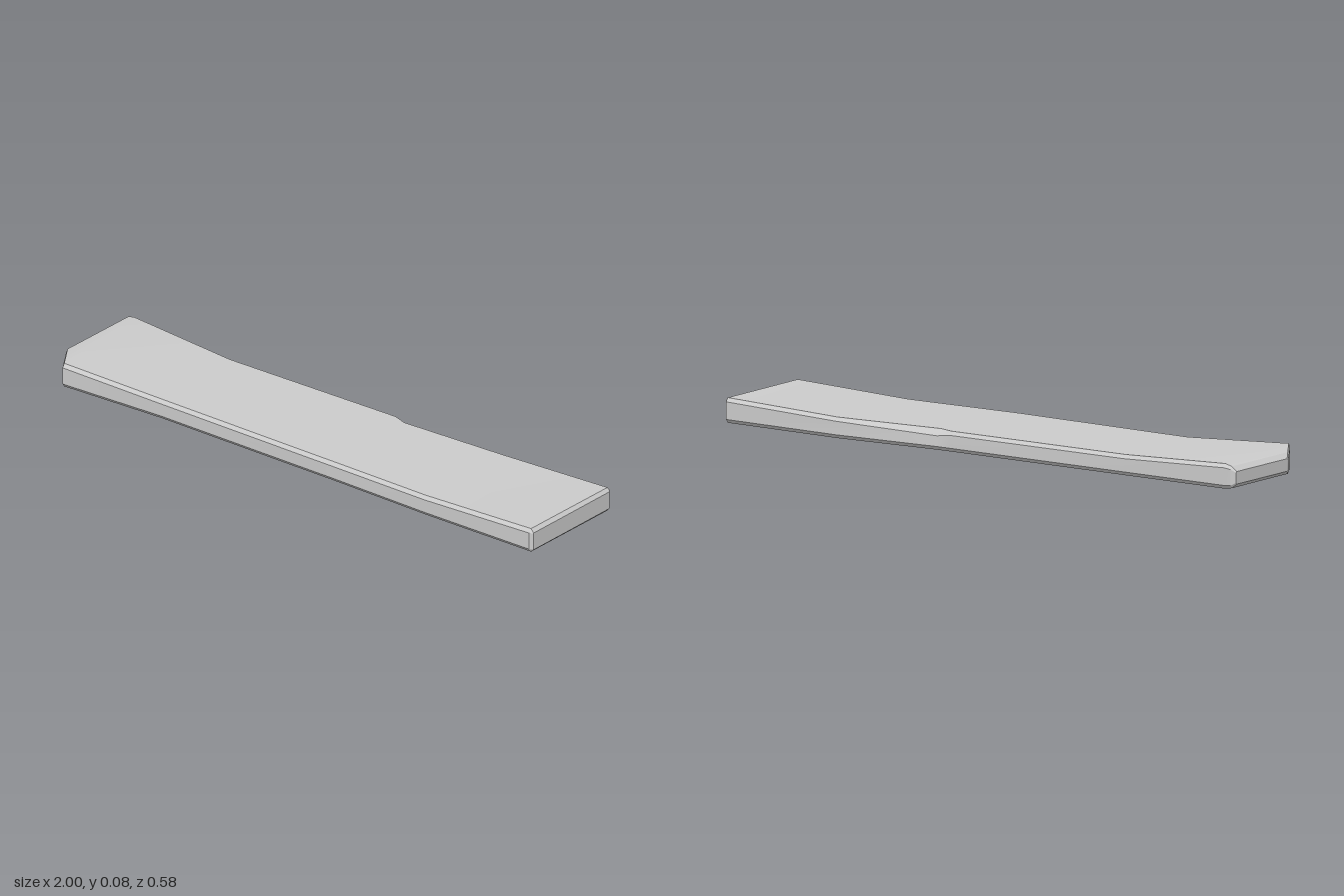
import * as THREE from 'three';
import { toCreasedNormals } from 'three/addons/utils/BufferGeometryUtils.js';

// Chamfered eight-point cross-section spanning the plank from back edge to front edge
function crossSection({ back, front, bottom, top, c = 0.012, chip = 0 }) {
  const b = new THREE.Vector2(...back);
  const f = new THREE.Vector2(...front);
  const across = f.clone().sub(b).normalize();
  const at = (edge, inset, y) => [edge.x + across.x * inset, y, edge.y + across.y * inset];
  const inset = c * 0.8;
  return [
    at(b, inset, bottom), at(b, 0, bottom + c),
    at(b, chip * 0.3, top - c - chip * 0.5), at(b, inset + chip, top),
    at(f, -inset, top), at(f, 0, top - c),
    at(f, 0, bottom + c), at(f, -inset, bottom),
  ];
}

// Skin between consecutive sections, closed at both ends
function loft(sections) {
  const n = sections[0].length;
  const last = (sections.length - 1) * n;
  const index = [];
  for (let i = 0; i < sections.length - 1; i++) {
    for (let j = 0; j < n; j++) {
      const a = i * n + j, b = i * n + (j + 1) % n;
      index.push(a, b, a + n, b, b + n, a + n);
    }
  }
  for (let k = 1; k < n - 1; k++) {
    index.push(0, k + 1, k, last, last + k, last + k + 1);
  }
  const geometry = new THREE.BufferGeometry();
  geometry.setAttribute('position', new THREE.Float32BufferAttribute(sections.flat(2), 3));
  geometry.setIndex(index);
  return toCreasedNormals(geometry, 0.45);
}

export function createModel() {
  const stations = [
    // worn left end with a clipped front corner
    { back: [-1.0, -0.11], front: [-0.975, 0.165], bottom: 0.022, top: 0.062, c: 0.004 },
    { back: [-0.985, -0.119], front: [-0.955, 0.195], bottom: 0.008, top: 0.077, c: 0.009 },
    { back: [-0.96, -0.121], front: [-0.88, 0.287], bottom: 0.003, top: 0.083 },
    // bowed middle
    { back: [-0.56, -0.14], front: [-0.51, 0.231], bottom: 0, top: 0.066 },
    { back: [0.1, -0.208], front: [0.13, 0.183], bottom: 0.004, top: 0.069 },
    // chip along the back edge
    { back: [0.15, -0.212], front: [0.185, 0.178], bottom: 0.004, top: 0.069, chip: 0.016 },
    { back: [0.53, -0.251], front: [0.565, 0.144], bottom: 0, top: 0.067 },
    // square-cut right end
    { back: [0.95, -0.29], front: [0.99, 0.107], bottom: 0.003, top: 0.083 },
    { back: [0.96, -0.28], front: [1.0, 0.098], bottom: 0.013, top: 0.071, c: 0.001 },
  ];

  const plank = new THREE.Mesh(
    loft(stations.map(crossSection)),
    new THREE.MeshStandardMaterial({ color: 0xcccccc }),
  );
  plank.name = 'plank';

  const group = new THREE.Group();
  group.name = 'woodenPlank';
  group.add(plank);
  return group;
}
